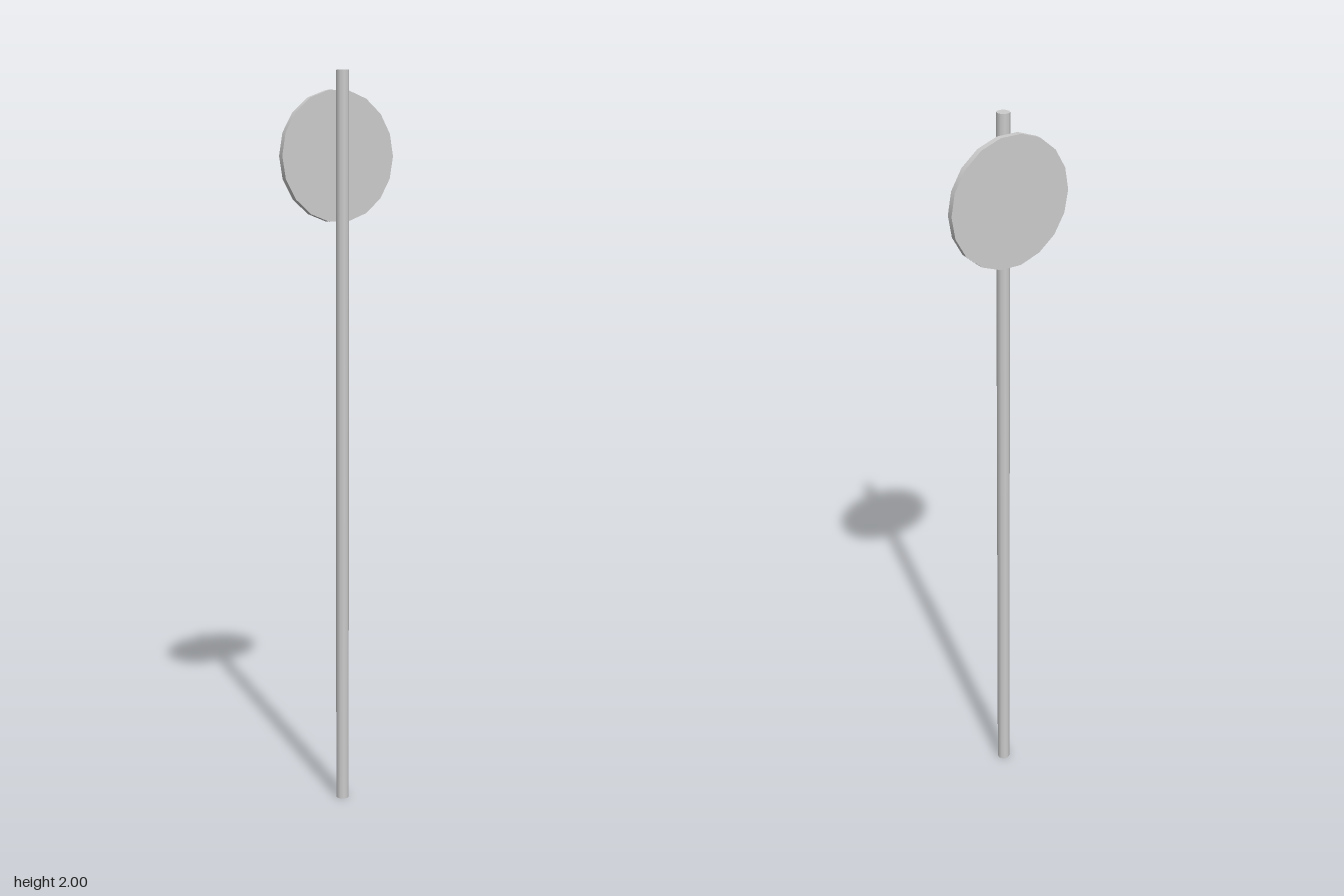
import * as THREE from 'three';

export function createModel() {
  const group = new THREE.Group();
  const material = new THREE.MeshStandardMaterial({ color: 0xcccccc });

  // Upright post, ten-sided with a corner on each side
  const post = new THREE.Mesh(
    new THREE.CylinderGeometry(0.0174, 0.0174, 2, 10, 1, false, Math.PI / 2), material);
  post.name = 'post';
  post.position.set(0, 1, 0.009);
  group.add(post);

  // Round sign plate fixed behind the post
  const plate = new THREE.Mesh(
    new THREE.CylinderGeometry(0.174, 0.174, 0.0166, 18, 1, false, Math.PI / 2), material);
  plate.name = 'signPlate';
  plate.rotation.x = Math.PI / 2;
  plate.position.set(0, 1.778, -0.0175);
  group.add(plate);

  return group;
}
